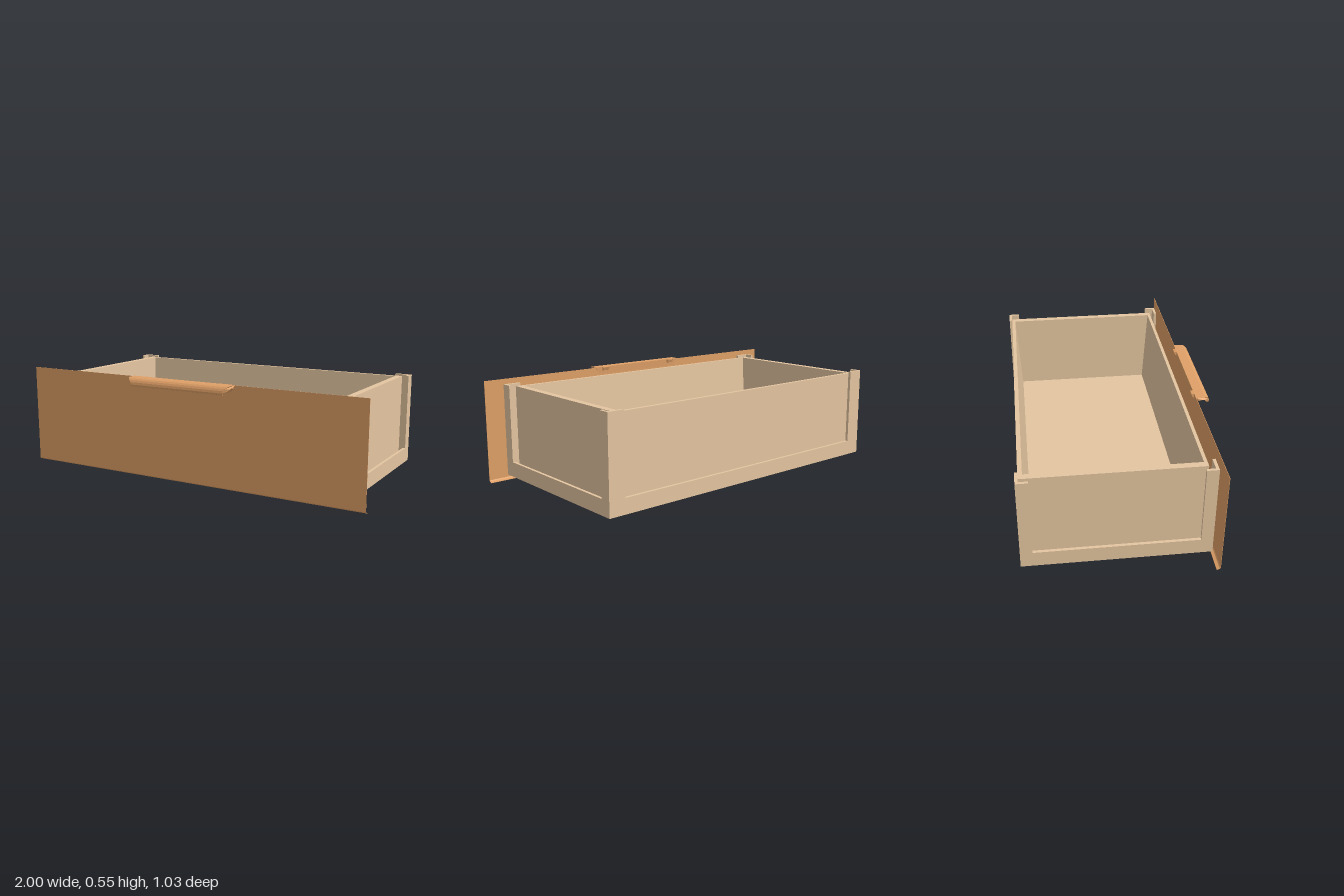
import * as THREE from 'three';

const wood = new THREE.MeshStandardMaterial({ color: 0xe4c5a0 });
wood.name = 'pale wood';
const copper = new THREE.MeshStandardMaterial({ color: 0xde9f66 });
copper.name = 'warm front';

export function createModel() {
  const group = new THREE.Group();
  const add = (geo, mat, name) => {
    const mesh = new THREE.Mesh(geo, mat);
    mesh.name = name;
    group.add(mesh);
    return mesh;
  };
  // box given by its limits on each axis
  const box = (x0, x1, y0, y1, z0, z1) =>
    new THREE.BoxGeometry(x1 - x0, y1 - y0, z1 - z0)
      .translate((x0 + x1) / 2, (y0 + y1) / 2, (z0 + z1) / 2);
  // move vertices by a rule
  const warp = (geo, rule) => {
    const p = geo.attributes.position;
    const v = new THREE.Vector3();
    for (let i = 0; i < p.count; i++) {
      v.fromBufferAttribute(p, i);
      rule(v);
      p.setXYZ(i, v.x, v.y, v.z);
    }
    geo.computeVertexNormals();
    return geo;
  };
  // profile of [z, y] points extruded across x
  const across = (points, width) => {
    const shape = new THREE.Shape(points.map(([z, y]) => new THREE.Vector2(z, y)));
    return new THREE.ExtrudeGeometry(shape, { depth: width, bevelEnabled: false })
      .rotateY(-Math.PI / 2).translate(width / 2, 0, 0);
  };

  const X = 0.9, ZB = -0.513, ZF = 0.42, Y0 = 0.03, T = 0.015;
  const RAIL = 0.11, POST = 0.52, BASE = 0.037, FLOOR = 0.08, WALL = 0.51;

  // floor and the raised frame under it
  add(box(-0.885, 0.885, BASE, FLOOR, -0.498, 0.405), wood, 'floor');
  for (const s of [-1, 1]) {
    const a = s < 0 ? -X : 0.81, b = s < 0 ? -0.81 : X;
    add(box(a, b, Y0, BASE, ZB, ZF), wood, 'bottomSideFrame');
  }
  add(box(-0.81, 0.81, Y0, BASE, ZB, ZB + 0.06), wood, 'bottomBackFrame');
  add(box(-0.81, 0.81, Y0, BASE, ZF - 0.06, ZF), wood, 'bottomFrontFrame');

  // side walls with leaning inner faces, outer rails and angled corner posts
  for (const s of [-1, 1]) {
    const side = (x0, x1, ...rest) =>
      s > 0 ? box(x0, x1, ...rest) : box(-x1, -x0, ...rest);
    add(warp(side(0.815, 0.85, FLOOR, WALL, -0.497, 0.382), v => {
      if (Math.abs(v.x) < 0.83 && v.y < 0.2) v.x = s * 0.808;
    }), wood, 'sideWall');
    add(side(0.885, X, BASE, RAIL, ZB, ZF), wood, 'sideRail');
    for (const [z0, z1, za, zb] of [[ZB, ZB + 0.06, ZB, ZB + T], [ZF - 0.06, ZF, ZF - T, ZF]]) {
      add(side(0.885, X, RAIL, POST, z0, z1), wood, 'postSideLeg');
      add(side(0.81, 0.885, RAIL, POST, za, zb), wood, 'postEndLeg');
    }
  }

  // back and front walls
  add(warp(box(-0.815, 0.815, FLOOR, WALL, -0.497, -0.478), v => {
    if (v.z > -0.49 && v.y < 0.2) v.z = -0.452;
  }), wood, 'backWall');
  add(warp(box(-0.815, 0.815, FLOOR, WALL, 0.365, 0.382), v => {
    if (v.z < 0.37 && v.y < 0.2) v.z = 0.337;
  }), wood, 'frontWall');
  add(box(-0.885, 0.885, BASE, RAIL, ZB, ZB + T), wood, 'backRail');
  add(box(-0.885, 0.885, BASE, RAIL, ZF - T, ZF), wood, 'frontRail');

  // thin drawer face with a lip folded back at the bottom
  add(across([
    [0.44, 0.545], [0.438, 0.545], [0.438, 0.012], [0.434, 0.007],
    [0.42, 0.002], [0.42, 0], [0.435, 0.005], [0.44, 0.011],
  ], 2), copper, 'drawerFace');

  // hooked pull with a rounded nose and trimmed ends
  const pull = across([
    [0.436, 0.547], [0.438, 0.508], [0.441, 0.508],
    [0.446, 0.521], [0.456, 0.53], [0.47, 0.535], [0.484, 0.532], [0.492, 0.523],
    [0.495, 0.506], [0.503, 0.503], [0.511, 0.505], [0.513, 0.513], [0.511, 0.525],
    [0.506, 0.535], [0.498, 0.543], [0.486, 0.547],
  ], 0.61);
  warp(pull, v => {
    const front = Math.max(0, (v.z - 0.482) / 0.031);
    const low = Math.max(0, (0.53 - v.y) / 0.025);
    v.x -= Math.sign(v.x) * 0.03 * Math.min(1, Math.max(front * front, low));
  });
  add(pull, copper, 'pullHandle');

  // clips holding the pull behind the face
  for (const s of [-1, 1]) {
    const clip = across([[0.437, 0.547], [0.422, 0.545], [0.428, 0.528], [0.437, 0.526]], 0.04);
    add(clip.translate(s * 0.24, 0, 0), copper, 'pullClip');
  }
  return group;
}
